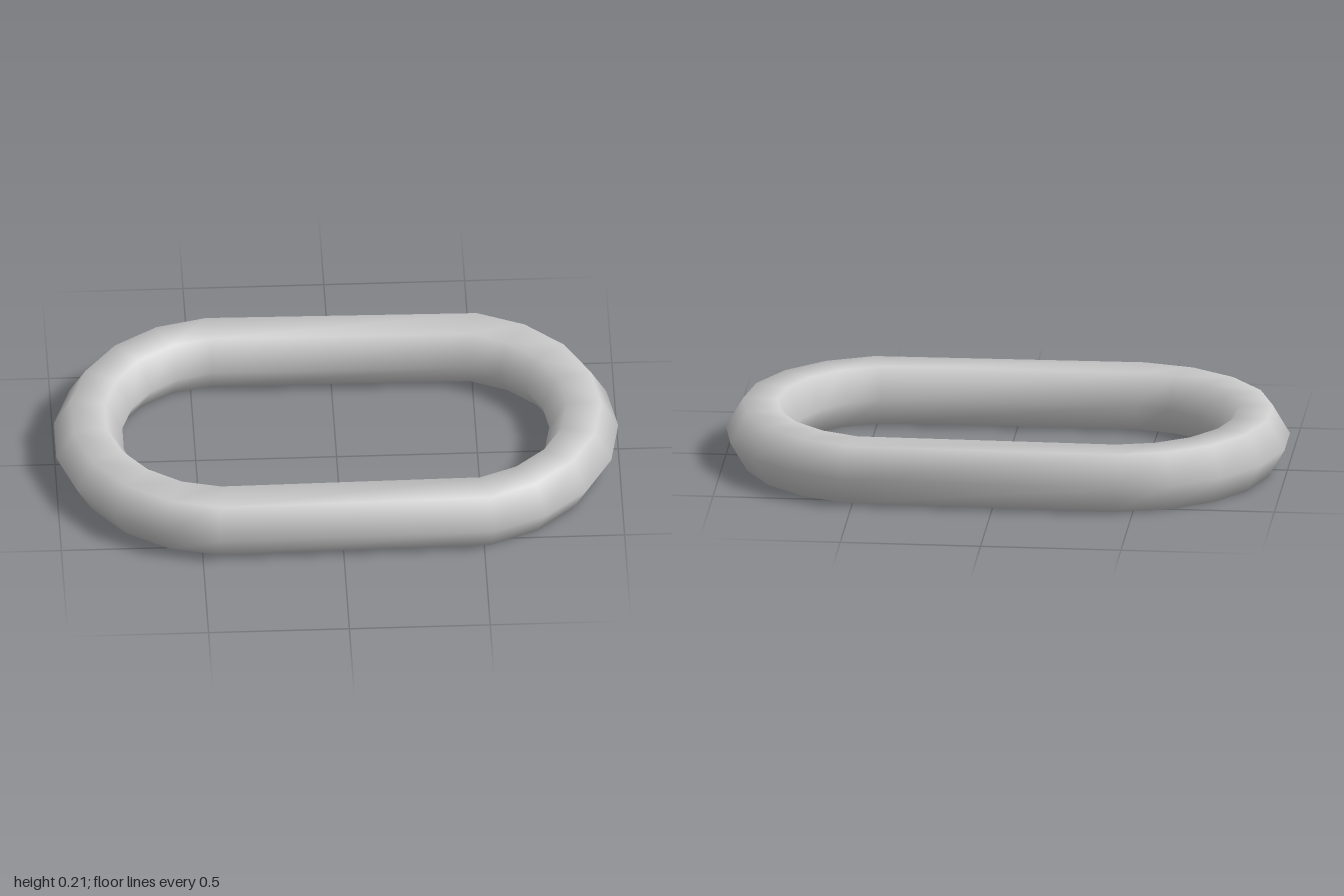
import * as THREE from 'three';

// Oval chain link: a six-sided ring whose two ends are pulled apart along x
export function createModel() {
  const group = new THREE.Group();
  group.name = 'chainLink';

  const ringRadius = 0.4915, barRadius = 0.1225, sides = 6, segments = 19;
  const geometry = new THREE.TorusGeometry(ringRadius, barRadius, sides, segments);

  // Slide each cross-section to the right or left end; the gaps become the straight bars
  const position = geometry.attributes.position;
  for (let i = 0; i < position.count; i++) {
    const angle = ((i % (segments + 1)) / segments) * Math.PI * 2;
    position.setX(i, position.getX(i) + (Math.cos(angle) > 0 ? 0.386 : -0.394));
  }

  // Lay the link flat on the ground
  geometry.rotateX(Math.PI / 2);
  geometry.translate(0, barRadius * Math.sin(Math.PI / 3), 0);

  const link = new THREE.Mesh(geometry, new THREE.MeshStandardMaterial({ color: 0xcccccc }));
  link.name = 'link';
  group.add(link);
  return group;
}
